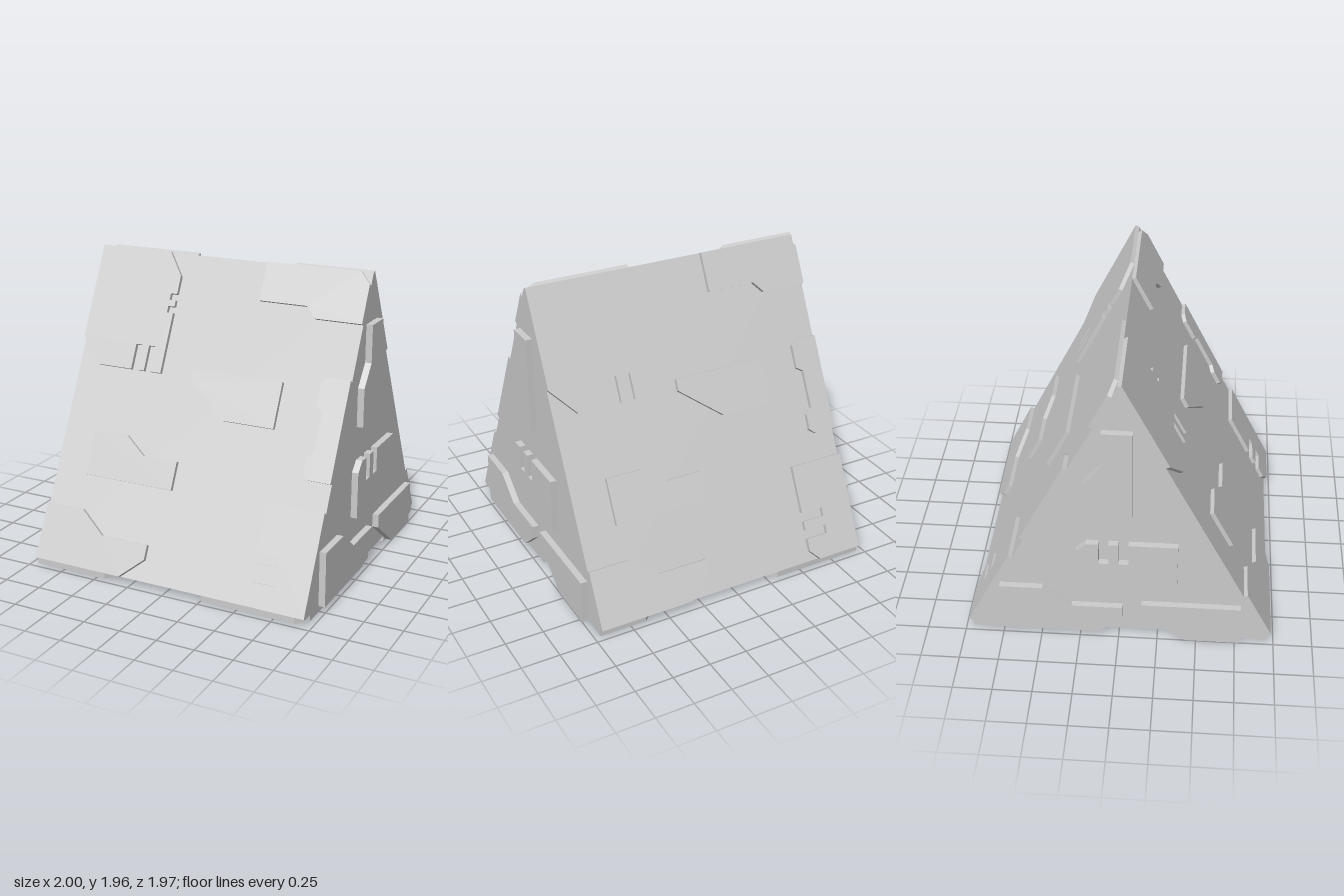
import * as THREE from 'three';

const material = new THREE.MeshStandardMaterial({ color: 0xcccccc, flatShading: true });

// Overall sizes of the prism
const HALF = 0.9575, HALF_Z = 0.96, BASE_Y = 0.042, RISE = 1.905;
const SLOPE = Math.hypot(RISE, HALF_Z);
const SLOPE_T = 0.027, END_T = 0.0425;

// Two square slots cut into an edge: (ax, ay) steps along it, (ix, iy) goes inwards
function slots(x, y, ax, ay, ix, iy) {
  return [0, 2].flatMap((k) => {
    const [x0, y0, x1, y1] = [x + k * ax, y + k * ay, x + (k + 1) * ax, y + (k + 1) * ay];
    return [[x0, y0], [x0 + ix, y0 + iy], [x1 + ix, y1 + iy], [x1, y1]];
  });
}

// Plate whose top steps down through a ramp, with an optional cut in its lower far corner
function stepped(x0, x1, y0, yLow, yHigh, rampStart, rampEnd, cutX = 0, cutY = 0) {
  const corner = cutX ? [[x1, y0 + cutY], [x1 - cutX, y0]] : [[x1, y0]];
  return [[x0, y0], [x0, yHigh], [rampStart, yHigh], [rampEnd, yLow], [x1, yLow], ...corner];
}

function slab(name, points, depth) {
  const shape = new THREE.Shape(points.map(([x, y]) => new THREE.Vector2(x, y)));
  const mesh = new THREE.Mesh(
    new THREE.ExtrudeGeometry(shape, { depth, bevelEnabled: false }), material);
  mesh.name = name;
  return mesh;
}

// Plates of a square face, laid out from its lower edge (0) to its upper edge (RISE);
// "length" is the real length of the face, "shift" moves the inner plates on the underside
function squareFace(name, length, thickness, shift) {
  const face = new THREE.Group();
  face.name = name;
  const add = (plate, points, dx = 0, dy = 0) => face.add(slab(plate,
    points.map(([x, y]) => [x + dx * shift, (y + dy * shift) * length / RISE]), thickness));

  add('combPlate', [
    [-HALF, RISE], [-0.445, RISE], [-0.335, 1.767],
    ...slots(-0.335, 1.657, 0, -0.038, -0.045, 0),
    [-0.335, 1.185],
    ...slots(-0.41, 1.185, -0.048, 0, 0, 0.15),
    [-0.8, 1.185], [-HALF, 1.342]]);
  add('upperCornerPlate', [
    [0.253, RISE], [0.885, RISE], [HALF, 1.837], [HALF, 1.612],
    [0.645, 1.612], [0.58, 1.677], [0.253, 1.677]]);
  add('centrePlate', [
    [-0.11, 1.237], [0.52, 1.237], [0.52, 0.972], [0.17, 0.972], [-0.11, 1.169]], 0.04, 0.05);
  add('notchedEdgePlate', [
    [HALF, 1.297], [0.82, 1.297], [0.77, 1.267], [0.77, 1.132], [0.815, 1.104],
    [0.815, 0.882], [0.77, 0.849], [0.77, 0.757], [0.81, 0.729], [HALF, 0.729]], 0, 0.14);
  add('steppedPlate',
    stepped(-0.715, -0.085, 0.534, 0.699, 0.799, -0.475, -0.33), -0.065);
  add('lowerCornerPlate',
    stepped(-HALF, -0.17, 0, 0.207, 0.332, -0.685, -0.505, 0.155, 0.122));
  add('slottedPlate', [
    [0.58, 0.572], [HALF, 0.572], [HALF, 0], [0.645, 0], [0.58, 0.06],
    ...slots(0.58, 0.135, 0, 0.0525, 0.155, 0)]);
  return face;
}

// Plates of a triangular end
function triangleEnd() {
  const end = new THREE.Group();
  end.name = 'endPlates';
  end.add(
    slab('endUpperPlate', [
      [-0.095, 1.648], [0.09, 1.648], [0.09, 1.018], [-0.205, 1.018],
      [-0.205, 1.27], [-0.095, 1.405]], END_T),
    slab('endCombPlate', [
      [-0.262, 0.43], [-0.262, 0.735], [-0.198, 0.797],
      ...slots(-0.122, 0.797, 0.0625, 0, 0, -0.157),
      [0.37, 0.797], [0.37, 0.43]], END_T),
    slab('endSteppedPlate',
      stepped(-0.76, 0.027, 0.042, 0.262, 0.402, -0.485, -0.3, 0.152, 0.133), END_T),
    slab('endWedgePlate', [
      [0.147, 0.295], [0.78, 0.295], [0.78, 0], [0.43, 0], [0.147, 0.205]], END_T));
  return end;
}

// One slope and one end, turned half round for the opposite side
function slopeAndEnd(name, turn) {
  const half = new THREE.Group();
  half.name = name;

  const slope = squareFace('slopePlates', SLOPE, SLOPE_T, 0);
  slope.rotation.x = -Math.atan2(HALF_Z, RISE);
  slope.position.set(0, BASE_Y, HALF_Z);

  const end = triangleEnd();
  end.rotation.y = Math.PI / 2;
  end.position.x = HALF;

  half.add(slope, end);
  half.rotation.y = turn;
  return half;
}

export function createModel() {
  const model = new THREE.Group();
  model.name = 'platedPrism';

  // Triangular core
  const core = slab('core',
    [[-HALF_Z, BASE_Y], [HALF_Z, BASE_Y], [0, BASE_Y + RISE]], HALF * 2);
  core.rotation.y = Math.PI / 2;
  core.position.x = -HALF;

  // Underside plates, reaching down to the ground
  const underside = squareFace('undersidePlates', HALF * 2, BASE_Y, 1);
  underside.rotation.x = Math.PI / 2;
  underside.position.set(0, BASE_Y, -HALF);

  model.add(core, underside,
    slopeAndEnd('frontAndLeftPlates', 0), slopeAndEnd('backAndRightPlates', Math.PI));
  return model;
}
